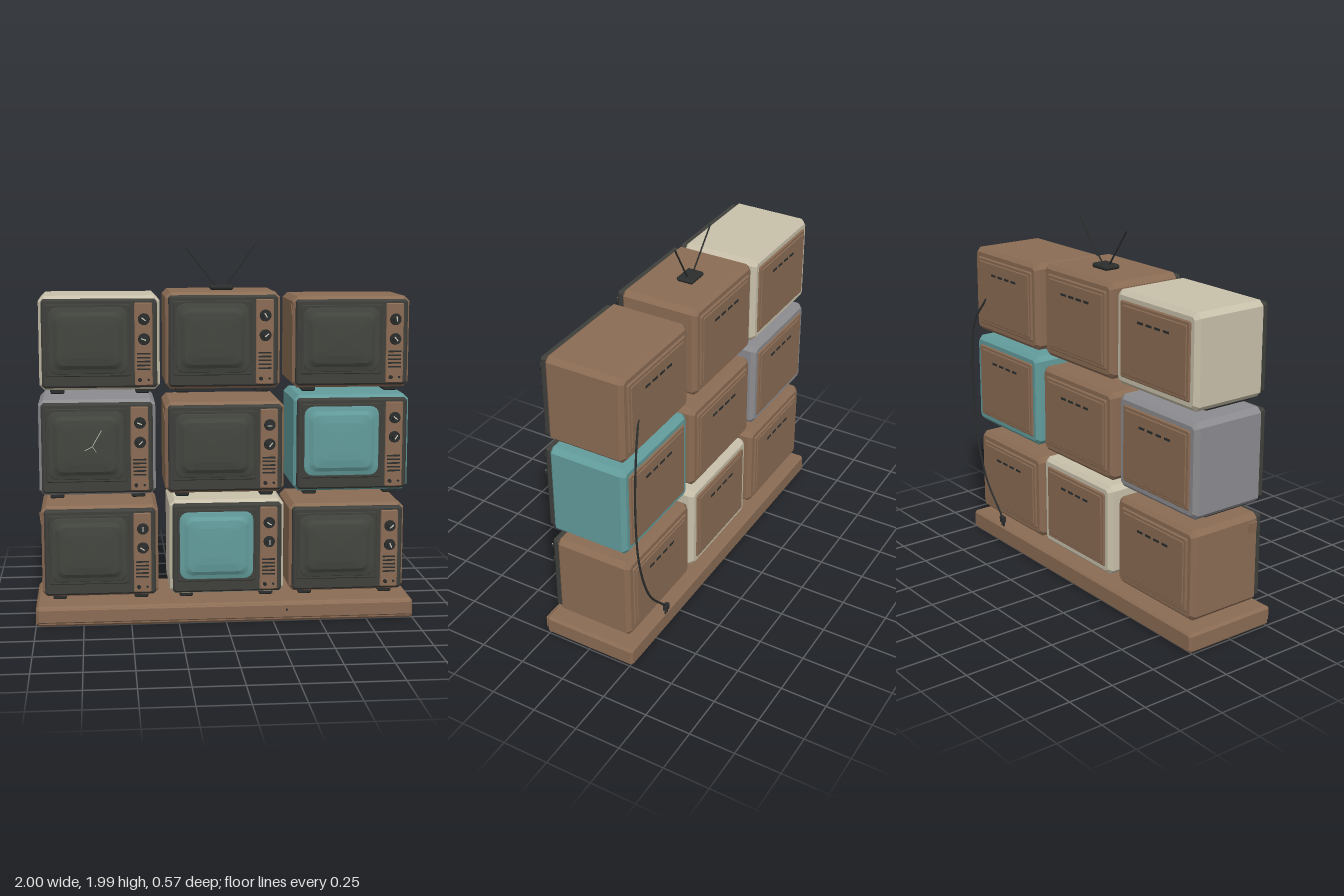
import * as THREE from 'three';

const mat = (name, color, side = THREE.FrontSide) => {
  const m = new THREE.MeshStandardMaterial({ color, side });
  m.name = name;
  return m;
};

export function createModel() {
  const M = {
    wood: mat('brown wood', 0x8b6c54),
    cream: mat('cream', 0xc8c0aa),
    grey: mat('grey', 0x8c8c90),
    teal: mat('teal', 0x639c9c),
    bezel: mat('dark bezel', 0x3f403c),
    glass: mat('dark glass', 0x43463f),
    black: mat('black plastic', 0x2b2e2d),
    light: mat('pale marking', 0xd0cdc2),
  };
  const root = new THREE.Group();
  root.name = 'televisionWall';

  const add = (parent, name, geo, material, x = 0, y = 0, z = 0) => {
    const mesh = new THREE.Mesh(geo, material);
    mesh.name = name;
    mesh.position.set(x, y, z);
    parent.add(mesh);
    return mesh;
  };
  const box = (w, h, d) => new THREE.BoxGeometry(w, h, d);

  // Box with chamfered edges and corners, centred on its origin
  const slab = (w, h, d, b) => {
    const x = w / 2 - b, y = h / 2 - b, c = b * 0.6;
    const s = new THREE.Shape([
      [x, -y + c], [x, y - c], [x - c, y], [-x + c, y],
      [-x, y - c], [-x, -y + c], [-x + c, -y], [x - c, -y],
    ].map(p => new THREE.Vector2(...p)));
    const g = new THREE.ExtrudeGeometry(s, {
      depth: d - 2 * b, bevelEnabled: true, bevelSize: b, bevelThickness: b, bevelSegments: 1,
    });
    return g.translate(0, 0, -d / 2 + b);
  };

  // Bulging picture tube: shrinking rounded-rectangle loops closed by a centre point
  const screenGeometry = (w, h) => {
    const rings = [[0, 0, 0.045], [0.008, 0.012, 0.045], [0.03, 0.018, 0.04],
      [0.05, 0.03, 0.035], [0.09, 0.036, 0.03], [0.13, 0.038, 0.02]];
    const pos = [], index = [], seg = 4, n = 4 * (seg + 1);
    for (const [inset, z, r] of rings) {
      for (let i = 0; i < n; i++) {
        const k = Math.floor(i / (seg + 1));
        const a = (k + (i % (seg + 1)) / seg) * Math.PI / 2;
        const sx = k === 0 || k === 3 ? 1 : -1, sy = k < 2 ? 1 : -1;
        pos.push(sx * (w / 2 - inset - r) + r * Math.cos(a), sy * (h / 2 - inset - r) + r * Math.sin(a), z);
      }
    }
    const centre = pos.length / 3, last = (rings.length - 1) * n;
    pos.push(0, 0, 0.039);
    for (let j = 0; j < rings.length - 1; j++) {
      for (let i = 0; i < n; i++) {
        const a = j * n + i, b = j * n + (i + 1) % n;
        index.push(a, b, b + n, a, b + n, a + n);
      }
    }
    for (let i = 0; i < n; i++) index.push(last + i, last + (i + 1) % n, centre);
    let g = new THREE.BufferGeometry();
    g.setAttribute('position', new THREE.Float32BufferAttribute(pos, 3));
    g.setIndex(index);
    g = g.toNonIndexed();
    g.computeVertexNormals();
    return g;
  };

  // Thin rod between two points
  const rod = (parent, name, a, b, r, material) => {
    const p = new THREE.Vector3(...a), q = new THREE.Vector3(...b);
    const dir = q.clone().sub(p), mid = p.clone().add(q).multiplyScalar(0.5);
    const m = add(parent, name, new THREE.CylinderGeometry(r, r, dir.length(), 6), material, mid.x, mid.y, mid.z);
    m.quaternion.setFromUnitVectors(new THREE.Vector3(0, 1, 0), dir.normalize());
    return m;
  };

  const television = ({ x0, x1, y0, y1, body, screen = M.glass, peel, turn = [0, 0] }) => {
    const tv = new THREE.Group(), w = x1 - x0, h = y1 - y0;
    tv.name = 'television';
    tv.position.set((x0 + x1) / 2, y0, 0);
    root.add(tv);
    add(tv, 'cabinet', slab(w, h, 0.435, 0.022), body, 0, h / 2, -0.008);
    add(tv, 'frontBezel', slab(w - 0.03, h - 0.03, 0.06, 0.01), M.bezel, 0, h / 2, 0.207);
    // Picture tube with its raised surround
    const sw = w - 0.205, sh = h - 0.132, sx = -w / 2 + 0.045 + sw / 2, sy = 0.082 + sh / 2;
    add(tv, 'screenSurround', slab(sw + 0.02, sh + 0.02, 0.014, 0.006), M.bezel, sx, sy, 0.234);
    add(tv, 'screen', screenGeometry(sw, sh), screen, sx, sy, 0.232);

    // Control strip with dials, speaker slots and buttons
    const cx = w / 2 - 0.085;
    add(tv, 'controlPanel', slab(0.092, h - 0.06, 0.016, 0.004), M.wood, cx, h / 2 - 0.004, 0.238);
    [0.118, 0.22].forEach((down, i) => {
      const dial = new THREE.Group();
      dial.name = 'dial';
      dial.position.set(cx + 0.003, h - down, 0.246);
      dial.rotation.z = turn[i];
      tv.add(dial);
      add(dial, 'dialSkirt', new THREE.CylinderGeometry(0.028, 0.031, 0.014, 16).rotateX(Math.PI / 2), M.black, 0, 0, 0.006);
      add(dial, 'dialCap', new THREE.CylinderGeometry(0.016, 0.019, 0.026, 12).rotateX(Math.PI / 2), M.black, 0, 0, 0.022);
      add(dial, 'dialPointer', box(0.006, 0.026, 0.003), M.light, 0, 0.004, 0.036);
    });
    for (let i = 0; i < 5; i++) add(tv, 'speakerSlot', box(0.068, 0.008, 0.006), M.black, cx, 0.11 + i * 0.02, 0.246);
    add(tv, 'button', new THREE.CylinderGeometry(0.01, 0.01, 0.018, 10).rotateX(Math.PI / 2), M.black, cx - 0.02, 0.056, 0.252);
    add(tv, 'button', new THREE.CylinderGeometry(0.006, 0.006, 0.012, 8).rotateX(Math.PI / 2), M.black, cx + 0.025, 0.056, 0.25);

    // Back cover with vents
    add(tv, 'backPanel', slab(w - 0.09, h - 0.09, 0.02, 0.006), M.wood, 0, h / 2, -0.224);
    add(tv, 'backCover', slab(w - 0.13, h - 0.13, 0.012, 0.004), M.wood, 0, h / 2, -0.232);
    for (let i = 0; i < 4; i++) add(tv, 'vent', box(0.042, 0.012, 0.006), M.black, (i - 1.5) * 0.066, h - 0.13, -0.238);

    for (const s of [-1, 1]) add(tv, 'foot', slab(0.072, 0.028, 0.285, 0.005), M.black, s * (w / 2 - 0.09), -0.009, 0.028);
    // Lifted sliver of veneer
    if (peel) add(tv, 'peeledVeneer', box(0.005, 0.06, 0.05), M.wood, -w / 2 - 0.003, h - 0.07, 0.16).rotation.z = 0.12;
    return tv;
  };

  // Bottom, middle and top rows
  television({ x0: -0.965, x1: -0.355, y0: 0.145, y1: 0.63, body: M.wood, peel: true, turn: [0, 1] });
  television({ x0: -0.295, x1: 0.31, y0: 0.145, y1: 0.65, body: M.cream, screen: M.teal, turn: [1, 0] });
  television({ x0: 0.34, x1: 0.955, y0: 0.145, y1: 0.62, body: M.wood, turn: [-0.8, 0.4] });
  const cracked = television({ x0: -0.97, x1: -0.365, y0: 0.69, y1: 1.19, body: M.grey, turn: [1.2, -0.8] });
  television({ x0: -0.315, x1: 0.31, y0: 0.69, y1: 1.17, body: M.wood, peel: true, turn: [1.57, -0.7] });
  television({ x0: 0.36, x1: 0.97, y0: 0.69, y1: 1.2, body: M.teal, screen: M.teal, turn: [0.9, -0.6] });
  television({ x0: -0.96, x1: -0.34, y0: 1.24, y1: 1.725, body: M.cream, turn: [0.9, 1.2] });
  television({ x0: -0.31, x1: 0.285, y0: 1.24, y1: 1.74, body: M.wood, turn: [0.5, -0.9] });
  television({ x0: 0.35, x1: 0.965, y0: 1.24, y1: 1.715, body: M.wood, peel: true, turn: [0.1, 0.7] });

  // Crack lines on the grey set
  const crack = [[0.023, 0.35], [-0.012, 0.29], [-0.025, 0.265], [-0.065, 0.245]];
  for (let i = 0; i < 3; i++) rod(cracked, 'crack', [...crack[i], 0.271], [...crack[i + 1], 0.271], 0.0022, M.light);
  rod(cracked, 'crack', [-0.025, 0.265, 0.271], [-0.005, 0.235, 0.271], 0.0015, M.light);

  // Plinth
  add(root, 'plinth', slab(2, 0.107, 0.53, 0.012), M.wood, 0, 0.0535, 0);
  add(root, 'plinthTrim', slab(1.98, 0.075, 0.024, 0.006), M.wood, 0, 0.058, 0.265);
  for (const x of [-0.93, -0.3, 0.32, 0.88]) {
    add(root, 'plinthNail', new THREE.CylinderGeometry(0.006, 0.006, 0.008, 8).rotateX(Math.PI / 2), x === 0.32 ? M.black : M.wood, x, 0.066, 0.279);
  }

  // Rabbit-ear aerial
  add(root, 'aerialBase', slab(0.125, 0.026, 0.095, 0.008), M.black, -0.003, 1.752, -0.03);
  rod(root, 'aerialRod', [-0.03, 1.76, -0.03], [-0.19, 1.965, -0.04], 0.0045, M.black);
  rod(root, 'aerialRod', [0.025, 1.76, -0.03], [0.19, 1.99, -0.055], 0.0045, M.black);

  // Power cable and plug hanging behind the stack
  const path = new THREE.CatmullRomCurve3([
    [0.84, 1.44, -0.235], [0.92, 1.29, -0.268], [0.948, 0.95, -0.274],
    [0.92, 0.62, -0.274], [0.83, 0.36, -0.274], [0.68, 0.18, -0.274],
  ].map(p => new THREE.Vector3(...p)));
  add(root, 'powerCable', new THREE.TubeGeometry(path, 32, 0.006, 6), M.black);
  add(root, 'plug', slab(0.04, 0.04, 0.024, 0.005), M.black, 0.668, 0.162, -0.274);
  for (const s of [-1, 1]) add(root, 'plugProng', box(0.005, 0.024, 0.008), M.black, 0.668 + s * 0.01, 0.132, -0.274);

  return root;
}
